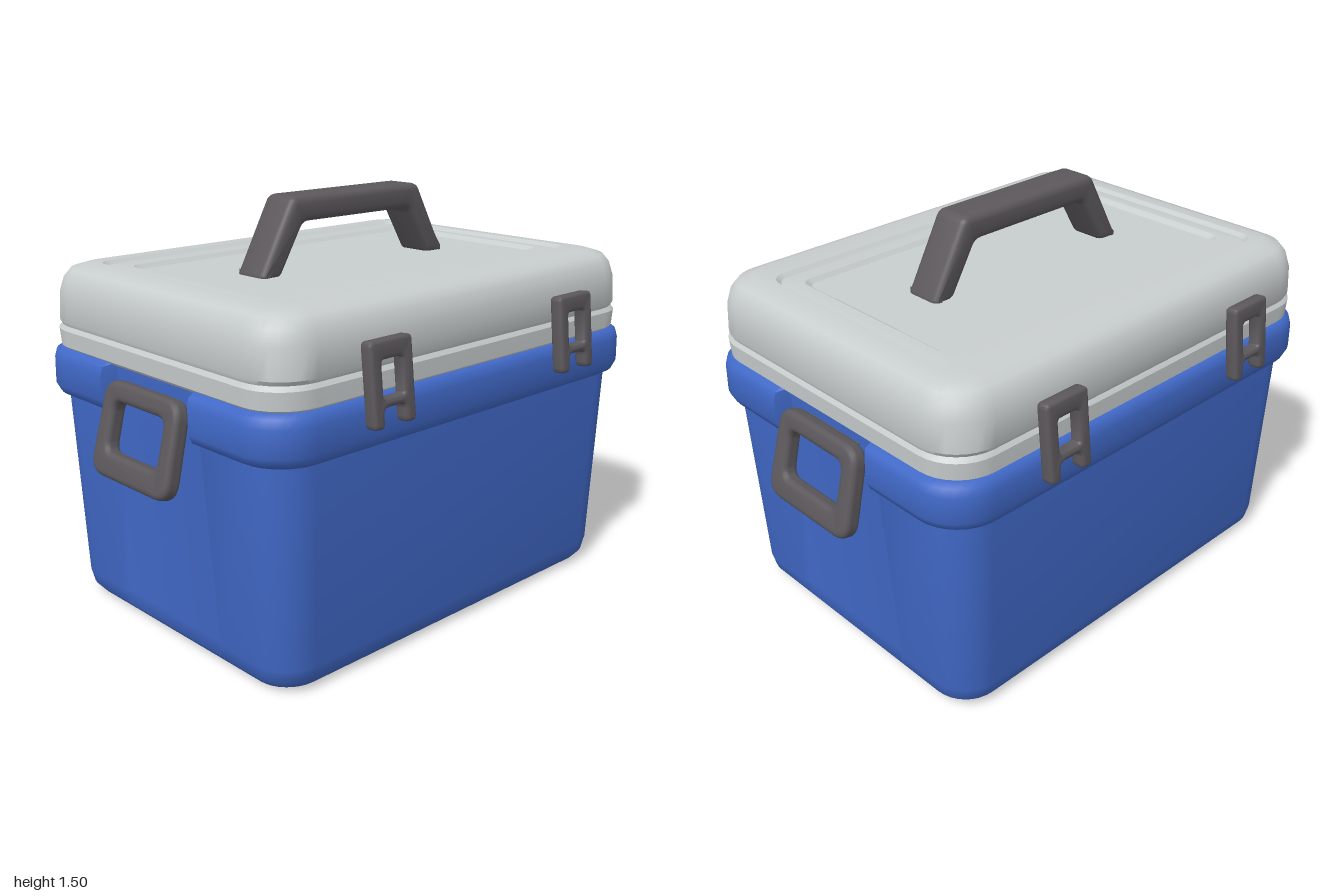
import * as THREE from 'three';
import { toCreasedNormals } from 'three/addons/utils/BufferGeometryUtils.js';

// Rounded rectangle outline with an optional inset panel in each x side
function ring({ y, hx, hz, r, rx = hx, w = 0.1, cz = 0 }) {
  const pts = [];
  for (const s of [1, -1]) {
    pts.push([s * hx, -s * (w + 0.025)], [s * rx, -s * w], [s * rx, s * w], [s * hx, s * (w + 0.025)]);
    for (const q of [0, 1]) {
      const sx = q ? -s : s;
      for (let i = 0; i <= 8; i++) {
        const a = (q + i / 8) * Math.PI / 2;
        pts.push([sx * (hx - r) + s * r * Math.cos(a), s * (hz - r) + s * r * Math.sin(a)]);
      }
    }
  }
  return pts.map(([x, z]) => [x, y, z + cz]);
}

// Closed skin through a stack of rings, bottom to top
function loft(sections, crease) {
  const rings = sections.map(ring), n = rings[0].length, index = [];
  const pos = rings.flat(2);
  const last = (rings.length - 1) * n, base = rings.length * n;
  pos.push(0, sections[0].y, 0, 0, sections.at(-1).y, 0);
  for (let i = 0; i < n; i++) {
    const j = (i + 1) % n;
    for (let k = 0; k < last; k += n) {
      index.push(k + i, k + n + i, k + j, k + j, k + n + i, k + n + j);
    }
    index.push(base, i, j, base + 1, last + j, last + i);
  }
  const g = new THREE.BufferGeometry();
  g.setAttribute('position', new THREE.Float32BufferAttribute(pos, 3));
  g.setIndex(index);
  return toCreasedNormals(g, crease);
}

// Polygon with rounded corners
function rounded(points, r, path = new THREE.Shape()) {
  const v = points.map(([x, y]) => new THREE.Vector2(x, y));
  v.forEach((p, i) => {
    const toward = q => p.clone().add(q.clone().sub(p).setLength(r));
    const a = toward(v[(i + v.length - 1) % v.length]), b = toward(v[(i + 1) % v.length]);
    if (i) path.lineTo(a.x, a.y); else path.moveTo(a.x, a.y);
    path.quadraticCurveTo(p.x, p.y, b.x, b.y);
  });
  path.closePath();
  return path;
}

const rect = (x, y0, y1) => [[-x, y0], [x, y0], [x, y1], [-x, y1]];

// Softly bevelled plate, centred on z = 0
function plate(shape, depth, bevel) {
  const g = new THREE.ExtrudeGeometry(shape, {
    depth: depth - 2 * bevel, bevelThickness: bevel, bevelSize: bevel,
    bevelOffset: -bevel, bevelSegments: 3, curveSegments: 6,
  });
  g.translate(0, 0, bevel - depth / 2);
  return toCreasedNormals(g, 0.7);
}

export function createModel() {
  const model = new THREE.Group();
  model.name = 'coolBox';
  const material = (name, color) => {
    const m = new THREE.MeshStandardMaterial({ color });
    m.name = name;
    return m;
  };
  const blue = material('blue', 0x4169c8);
  const pale = material('paleGrey', 0xc8cdcd);
  const dark = material('darkGrey', 0x5c585c);
  const add = (name, geometry, mat, parent = model) => {
    const mesh = new THREE.Mesh(geometry, mat);
    mesh.name = name;
    parent.add(mesh);
    return mesh;
  };

  // Tapered tub with a thick rim and a recessed panel on each end
  add('body', loft([
    { y: 0, hx: 0.78, hz: 0.54, r: 0.1, w: 0.27 },
    { y: 0.012, hx: 0.81, hz: 0.572, r: 0.12, w: 0.27 },
    { y: 0.04, hx: 0.833, hz: 0.595, r: 0.13, w: 0.27 },
    { y: 0.09, hx: 0.845, hz: 0.607, r: 0.14, rx: 0.83, w: 0.268 },
    { y: 0.785, hx: 0.873, hz: 0.63, r: 0.15, rx: 0.852, w: 0.228 },
    { y: 0.8, hx: 0.9, hz: 0.655, r: 0.165, rx: 0.853, w: 0.226 },
    { y: 0.83, hx: 0.914, hz: 0.667, r: 0.17, rx: 0.854, w: 0.225 },
    { y: 0.92, hx: 0.912, hz: 0.667, r: 0.17, rx: 0.858, w: 0.222 },
    { y: 0.95, hx: 0.904, hz: 0.66, r: 0.165, rx: 0.86, w: 0.22 },
    { y: 0.963, hx: 0.885, hz: 0.645, r: 0.155, rx: 0.86, w: 0.22 },
  ], 0.75), blue);

  // Lid: bottom lip, groove, rounded shoulder, then stepped top panel
  add('lid', loft([
    { y: 0.955, hx: 0.87, hz: 0.63, r: 0.15 },
    { y: 0.97, hx: 0.888, hz: 0.647, r: 0.16 },
    { y: 1.03, hx: 0.892, hz: 0.65, r: 0.16 },
    { y: 1.045, hx: 0.882, hz: 0.64, r: 0.16 },
    { y: 1.06, hx: 0.888, hz: 0.648, r: 0.16 },
    { y: 1.16, hx: 0.882, hz: 0.645, r: 0.16 },
    { y: 1.21, hx: 0.868, hz: 0.63, r: 0.15 },
    { y: 1.24, hx: 0.845, hz: 0.605, r: 0.13 },
    { y: 1.255, hx: 0.8, hz: 0.56, r: 0.1 },
    { y: 1.258, hx: 0.75, hz: 0.475, r: 0.06, cz: -0.02 },
    { y: 1.245, hx: 0.735, hz: 0.46, r: 0.05, cz: -0.02 },
    { y: 1.25, hx: 0.7, hz: 0.41, r: 0.05, cz: -0.015 },
    { y: 1.25, hx: 0.68, hz: 0.38, r: 0.04, cz: -0.01 },
    { y: 1.235, hx: 0.66, hz: 0.365, r: 0.03, cz: -0.01 },
  ], 0.6), pale);

  // Carry handle on the lid
  const arch = rounded([
    [-0.46, 1.225], [-0.37, 1.225], [-0.26, 1.41], [0.26, 1.41],
    [0.37, 1.225], [0.46, 1.225], [0.31, 1.5], [-0.31, 1.5],
  ], 0.025);
  add('topHandle', plate(arch, 0.15, 0.025), dark);

  // Tilted grab handle on each end
  const frame = rounded([[-0.22, -0.165], [0.22, -0.165], [0.208, 0.165], [-0.208, 0.165]], 0.07);
  frame.holes.push(rounded(rect(0.14, -0.075, 0.095), 0.035, new THREE.Path()));
  const frameGeometry = plate(frame, 0.06, 0.02).rotateY(Math.PI / 2);
  for (const [side, turn] of [['left', 0], ['right', Math.PI]]) {
    const end = new THREE.Group();
    end.name = side + 'EndHandle';
    end.rotation.y = turn;
    const grip = add('grip', frameGeometry, dark, end);
    grip.position.set(0.927, 0.76, 0);
    grip.rotation.z = 0.25;
    const lug = add('hingeLug', new THREE.BoxGeometry(0.05, 0.04, 0.3), dark, end);
    lug.position.set(0.87, 0.885, 0);
    model.add(end);
  }

  // Two latches on the front and two on the back
  const clip = rounded([
    [-0.092, -0.138], [-0.045, -0.138], [-0.045, -0.075], [0.045, -0.075],
    [0.045, -0.138], [0.092, -0.138], [0.092, 0.138], [-0.092, 0.138],
  ], 0.018);
  clip.holes.push(rounded(rect(0.045, -0.045, 0.075), 0.012, new THREE.Path()));
  const clipGeometry = plate(clip, 0.05, 0.012);
  for (const [face, turn] of [['front', 0], ['back', Math.PI]]) {
    const latches = new THREE.Group();
    latches.name = face + 'Latches';
    latches.rotation.y = turn;
    for (const x of [-0.47, 0.47]) {
      const latch = add('latch', clipGeometry, dark, latches);
      latch.position.set(x, 1.008, 0.687);
      latch.rotation.x = -0.1;
    }
    model.add(latches);
  }
  return model;
}
